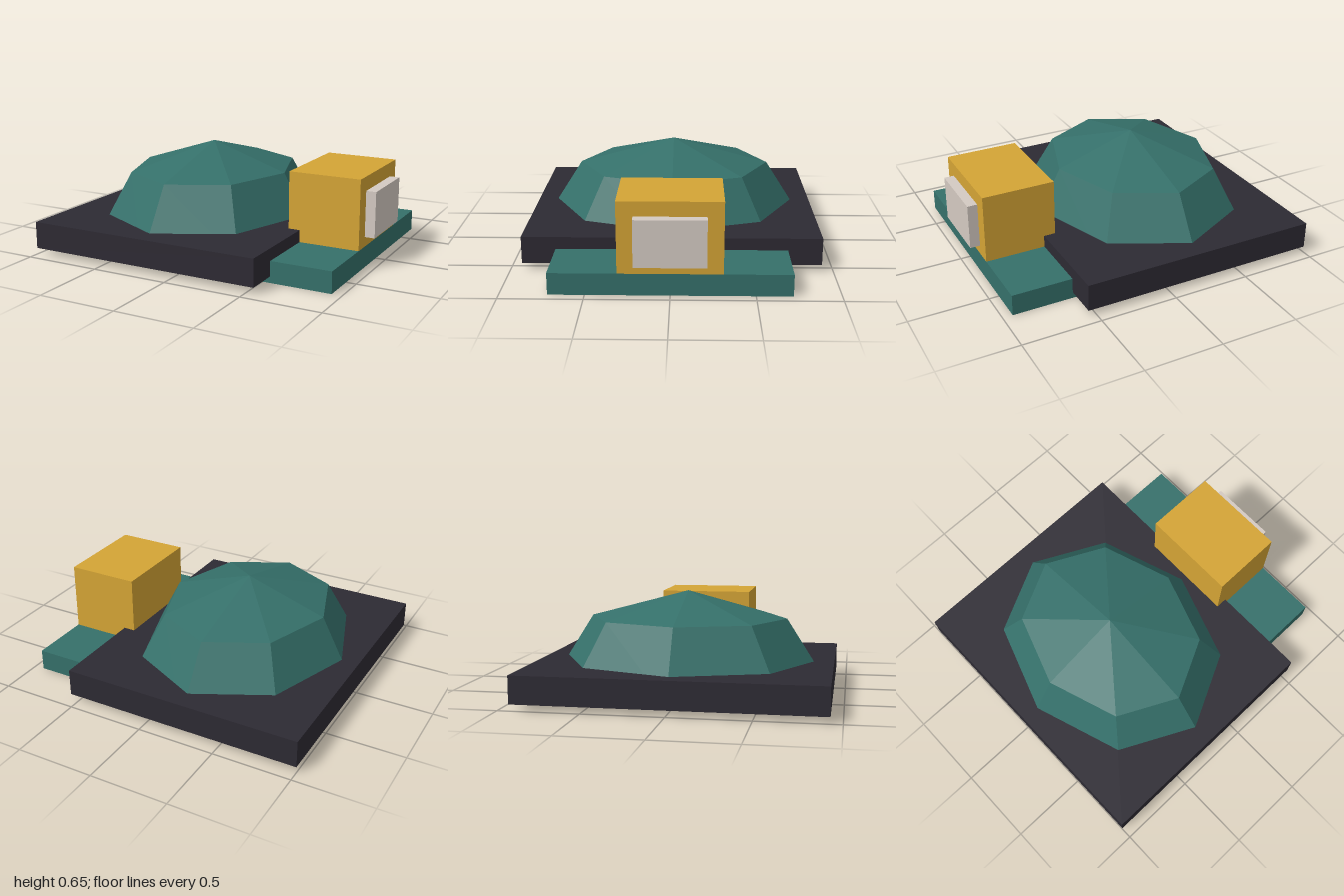
import * as THREE from 'three';

const material = (color) => new THREE.MeshStandardMaterial({ color, flatShading: true });

export function createModel() {
  const model = new THREE.Group();
  const teal = material(0x35706a);
  const dark = material(0x2d2a33);
  const gold = material(0xd4a435);
  const pale = material(0xd4cac2);

  const add = (name, geometry, mat) => {
    const mesh = new THREE.Mesh(geometry, mat);
    mesh.name = name;
    model.add(mesh);
    return mesh;
  };

  // Box given by its x and y extents, centred on z
  const box = (name, mat, x0, x1, y0, y1, depth) => {
    const mesh = add(name, new THREE.BoxGeometry(x1 - x0, y1 - y0, depth), mat);
    mesh.position.set((x0 + x1) / 2, (y0 + y1) / 2, 0);
  };

  box('baseSlab', dark, -1, 0.55, 0.04, 0.212, 1.86);
  box('lowerPlate', teal, 0.01, 0.937, 0, 0.135, 1.435);
  box('headBlock', gold, 0.475, 0.937, 0.135, 0.575, 0.62);
  box('facePanel', pale, 0.937, 1, 0.197, 0.485, 0.425);

  // Faceted half-ellipsoid shell, its rim sunk into the slab
  const dome = add('domeShell', new THREE.SphereGeometry(1, 8, 2, 0, Math.PI * 2, 0, Math.PI / 2), teal);
  dome.scale.set(0.737, 0.58, 0.893);
  dome.position.set(-0.225, 0.07, 0);

  return model;
}
